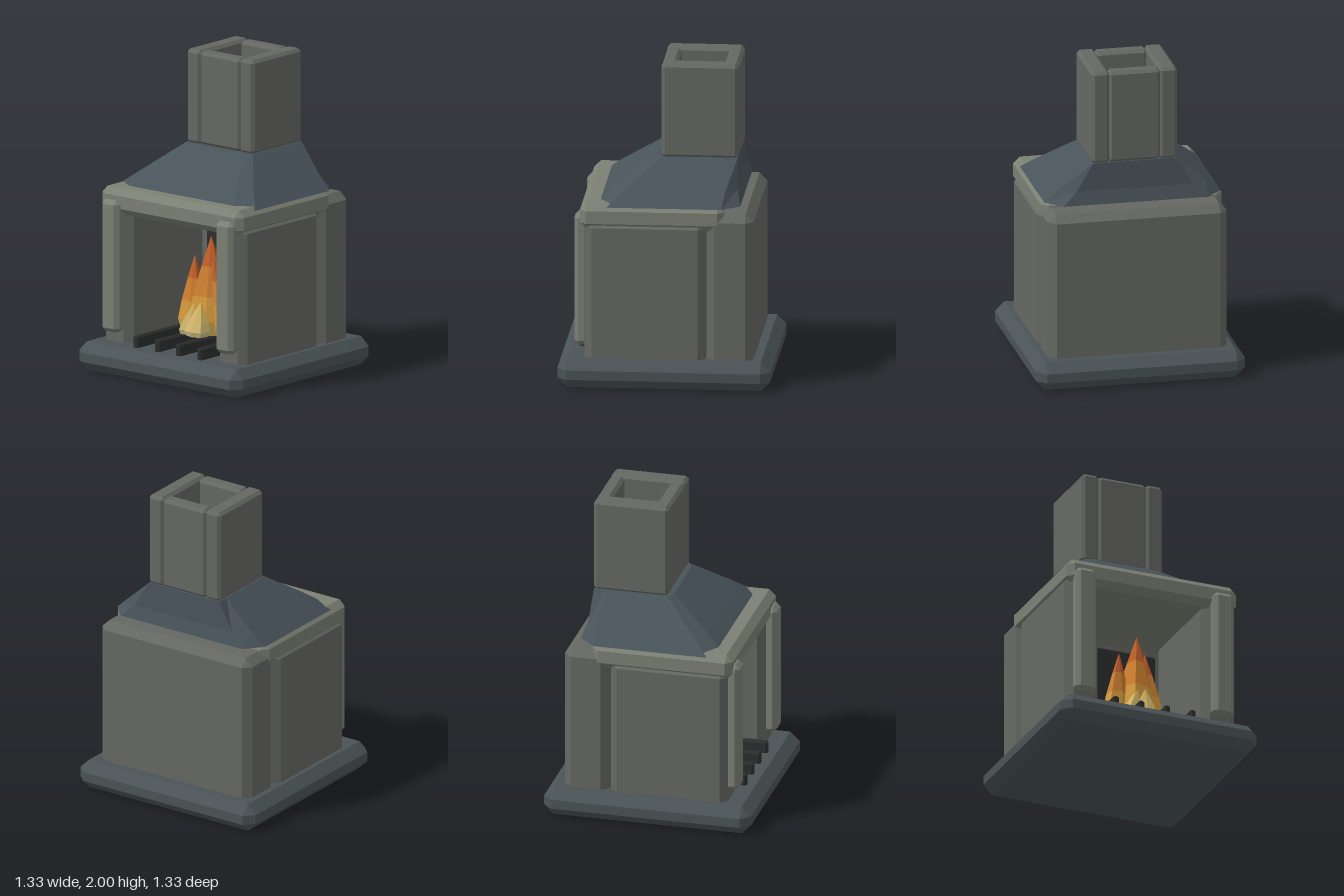
import * as THREE from 'three';
import { ConvexGeometry } from 'three/addons/geometries/ConvexGeometry.js';

const mat = (color) => new THREE.MeshStandardMaterial({ color, flatShading: true });
const STONE = mat(0x656862), TRIM = mat(0x7b8074), SLATE = mat(0x4a5356), HOOD = mat(0x48535a);
const IRON = mat(0x2c2e2e);
const FIRE = [mat(0xdcb558), mat(0xd69a3c), mat(0xcf8030), mat(0xc4602a)];
const PALE = [mat(0xd8c888), mat(0xd2b870), mat(0xd0b468), mat(0xd0b060)];

function add(parent, name, geometry, material) {
  const mesh = new THREE.Mesh(geometry, material);
  mesh.name = name;
  parent.add(mesh);
  return mesh;
}

// Box between two corners with every edge cut at 45 degrees
function block([x0, y0, z0], [x1, y1, z1], c) {
  const h = [(x1 - x0) / 2, (y1 - y0) / 2, (z1 - z0) / 2];
  const pts = [];
  for (const sx of [-1, 1]) for (const sy of [-1, 1]) for (const sz of [-1, 1])
    for (let axis = 0; axis < 3; axis++) {
      const e = h.map((v, i) => (i === axis ? v : v - c));
      pts.push(new THREE.Vector3(sx * e[0], sy * e[1], sz * e[2]));
    }
  return new ConvexGeometry(pts).translate((x0 + x1) / 2, (y0 + y1) / 2, (z0 + z1) / 2);
}

// Skin over stacked rings of points (each running from +x towards +z), with end caps
function loft(rings) {
  const pos = [], n = rings[0].length;
  const tri = (...p) => p.forEach((q) => pos.push(...q));
  for (let r = 0; r + 1 < rings.length; r++)
    for (let i = 0; i < n; i++) {
      const j = (i + 1) % n, lo = rings[r], up = rings[r + 1];
      tri(lo[i], up[i], lo[j]);
      tri(lo[j], up[i], up[j]);
    }
  const bottom = rings[0], top = rings[rings.length - 1];
  for (let i = 1; i + 1 < n; i++) {
    tri(bottom[0], bottom[i], bottom[i + 1]);
    tri(top[0], top[i + 1], top[i]);
  }
  const g = new THREE.BufferGeometry();
  g.setAttribute('position', new THREE.Float32BufferAttribute(pos, 3));
  g.computeVertexNormals();
  return g;
}

// Faceted flame that leans to its tip, in bands of colour from pale base to orange tip
function flame(parent, { base, tip, r, turn = 0, colors = FIRE }) {
  const group = new THREE.Group();
  group.name = 'flame';
  const levels = [[0, 0.8], [0.15, 1], [0.4, 0.78], [0.7, 0.42], [1, 0.01]];
  const rings = levels.map(([t, k]) => Array.from({ length: 7 }, (_, i) => {
    const a = turn + (i / 7) * Math.PI * 2;
    const rad = r * k * (i % 2 ? 0.86 : 1.04);
    return [
      base[0] + (tip[0] - base[0]) * t + Math.cos(a) * rad,
      base[1] + (tip[1] - base[1]) * t,
      base[2] + (tip[2] - base[2]) * t + Math.sin(a) * rad,
    ];
  }));
  colors.forEach((m, i) => add(group, 'flameBand', loft([rings[i], rings[i + 1]]), m));
  parent.add(group);
}

export function createModel() {
  const model = new THREE.Group();
  model.name = 'fireplace';

  // Hearth slab and back of the firebox
  add(model, 'hearthBase', block([-0.665, 0, -0.665], [0.665, 0.18, 0.665], 0.06), SLATE);
  add(model, 'backWall', block([-0.57, 0.11, -0.553], [0.57, 1.112, -0.26], 0.05), STONE);
  add(model, 'firebackPlate', block([-0.345, 0.215, -0.275], [0.345, 0.965, -0.235], 0.012), IRON);

  // Mirrored side walls and front pilasters
  for (const s of [-1, 1]) {
    const span = (a, b) => (s > 0 ? [a, b] : [-b, -a]);
    const [w0, w1] = span(0.35, 0.577);
    add(model, 'sideWall', block([w0, 0.11, -0.253], [w1, 1.06, 0.5], 0.045), STONE);
    const [p0, p1] = span(0.395, 0.535);
    add(model, 'frontPilaster', block([p0, 0.25, 0.475], [p1, 1.093, 0.567], 0.027), TRIM);
  }

  // Mantel slab
  add(model, 'mantel', block([-0.575, 1.0, -0.37], [0.575, 1.165, 0.53], 0.042), TRIM);

  // Sloping hood: eight-sided rings, nearly upright at the back
  const ring = (y, X, xf, zf, zfSide, zbSide, xb, zb) => [
    [X, y, zbSide], [X, y, zfSide], [xf, y, zf], [-xf, y, zf],
    [-X, y, zfSide], [-X, y, zbSide], [-xb, y, zb], [xb, y, zb],
  ];
  add(model, 'hood', loft([
    ring(1.145, 0.56, 0.44, 0.435, 0.36, -0.355, 0.46, -0.465),
    ring(1.23, 0.465, 0.37, 0.325, 0.265, -0.37, 0.37, -0.442),
    ring(1.405, 0.27, 0.22, 0.07, 0.04, -0.355, 0.265, -0.432),
  ]), HOOD);

  // Open chimney from four slabs
  for (const x of [-0.215, 0.215])
    add(model, 'chimneySide', block([x - 0.058, 1.4, -0.435], [x + 0.058, 2, 0.045], 0.02), STONE);
  for (const z of [-0.39, -0.003])
    add(model, 'chimneyPanel', block([-0.165, 1.402, z - 0.047], [0.165, 1.996, z + 0.047], 0.02), STONE);

  // Grate bars
  for (const x of [-0.26, -0.087, 0.087, 0.26])
    add(model, 'grateBar', block([x - 0.02, 0.17, -0.2], [x + 0.02, 0.255, 0.55], 0.01), IRON);

  // Fire
  const fire = new THREE.Group();
  fire.name = 'fire';
  model.add(fire);
  flame(fire, { base: [0.03, 0.255, 0.17], tip: [0.04, 0.87, 0.17], r: 0.15, turn: 0.2 });
  flame(fire, { base: [-0.105, 0.255, 0.16], tip: [-0.085, 0.735, 0.18], r: 0.1, turn: 0.5 });
  flame(fire, { base: [0.13, 0.255, 0.15], tip: [0.08, 0.75, 0.2], r: 0.105, turn: 0.9 });
  flame(fire, { base: [0.02, 0.255, 0.04], tip: [0.01, 0.65, 0.08], r: 0.12, turn: 1.3 });
  flame(fire, { base: [-0.05, 0.255, 0.27], tip: [0.0, 0.47, 0.28], r: 0.075, turn: 0.3, colors: PALE });
  flame(fire, { base: [0.03, 0.255, 0.29], tip: [0.05, 0.47, 0.28], r: 0.085, turn: 0.7, colors: PALE });

  return model;
}
